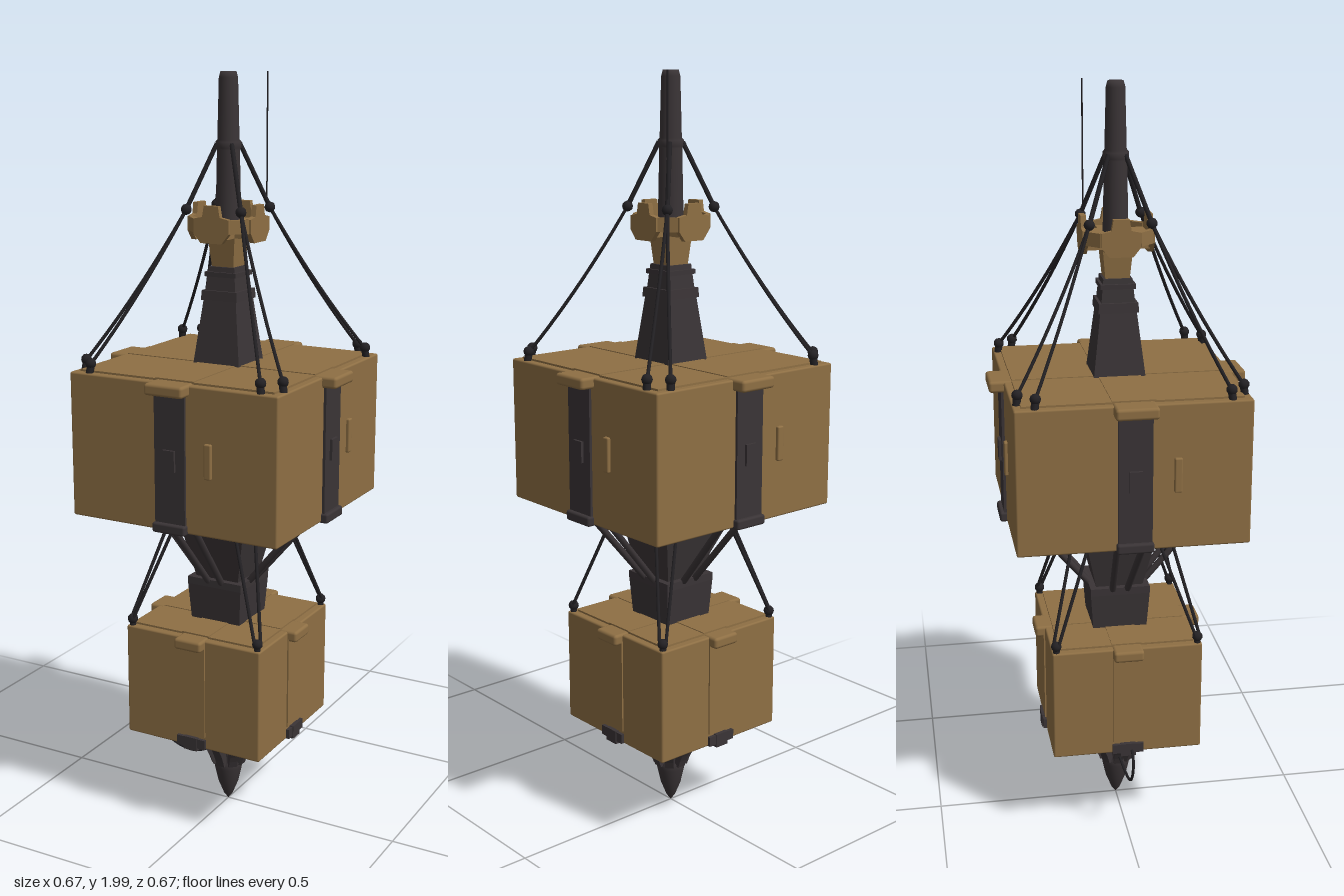
import * as THREE from 'three';
import { RoundedBoxGeometry } from 'three/addons/geometries/RoundedBoxGeometry.js';

const V = (x, y, z) => new THREE.Vector3(x, y, z);

export function createModel() {
  const tan = new THREE.MeshStandardMaterial({ color: 0x8e6f44 });
  tan.name = 'tan panel';
  const dark = new THREE.MeshStandardMaterial({ color: 0x3a3436 });
  dark.name = 'dark metal';
  const black = new THREE.MeshStandardMaterial({ color: 0x232124 });
  black.name = 'black cable';

  const model = new THREE.Group();
  model.name = 'hangingModule';

  const add = (parent, name, geo, mat, x = 0, y = 0, z = 0) => {
    const m = new THREE.Mesh(geo, mat);
    m.name = name;
    m.position.set(x, y, z);
    parent.add(m);
    return m;
  };
  const box = (parent, name, mat, w, h, d, x, y, z) =>
    add(parent, name, new THREE.BoxGeometry(w, h, d), mat, x, y, z);
  const soft = (parent, name, mat, w, h, d, x, y, z, r = 0.006) =>
    add(parent, name, new RoundedBoxGeometry(w, h, d, 2, r), mat, x, y, z);
  // square section between two heights, given by half widths
  const taper = (name, mat, y0, half0, y1, half1) => {
    let g = new THREE.CylinderGeometry(half1 * Math.SQRT2, half0 * Math.SQRT2, y1 - y0, 4);
    g.rotateY(Math.PI / 4);
    g = g.toNonIndexed();
    g.computeVertexNormals();
    return add(model, name, g, mat, 0, (y0 + y1) / 2, 0);
  };
  const rod = (parent, name, mat, a, b, r) => {
    const m = add(parent, name, new THREE.CylinderGeometry(r, r, a.distanceTo(b), 8), mat);
    m.position.copy(a).add(b).multiplyScalar(0.5);
    m.quaternion.setFromUnitVectors(V(0, 1, 0), b.clone().sub(a).normalize());
    return m;
  };
  // four copies turned about the mast
  const around = (name, build, turn = 0) => {
    for (let i = 0; i < 4; i++) {
      const g = new THREE.Group();
      g.name = name + (i + 1);
      g.rotation.y = turn + (i * Math.PI) / 2;
      build(g);
      model.add(g);
    }
  };

  // top pole
  add(model, 'pole', new THREE.LatheGeometry([
    [0.034, 1.58], [0.032, 1.66], [0.029, 1.8], [0.033, 1.805], [0.033, 1.82],
    [0.028, 1.825], [0.024, 1.975], [0.02, 1.99], [0, 1.99],
  ].map(([x, y]) => new THREE.Vector2(x, y)), 16), dark);

  // mast sections
  taper('mastCollar', tan, 1.5, 0.03, 1.6, 0.04);
  taper('mastNeck', dark, 1.45, 0.043, 1.51, 0.037);
  taper('neckRing', dark, 1.485, 0.045, 1.497, 0.045);
  taper('lowerNeckRing', dark, 1.425, 0.052, 1.45, 0.05);
  taper('upperMast', dark, 1.25, 0.068, 1.44, 0.045);
  taper('flaredMast', dark, 0.675, 0.062, 0.89, 0.108);
  taper('mastRing', dark, 0.66, 0.08, 0.68, 0.08);
  taper('lowerMast', dark, 0.55, 0.072, 0.665, 0.08);

  // crown of four shield plates on short arms
  const shield = new THREE.Shape();
  [[-0.03, 1.575], [0.03, 1.575], [0.05, 1.6], [0.05, 1.635], [0.025, 1.64],
    [0.02, 1.668], [-0.02, 1.668], [-0.025, 1.64], [-0.05, 1.635], [-0.05, 1.6]]
    .forEach(([x, y], i) => (i ? shield.lineTo(x, y) : shield.moveTo(x, y)));
  const plate = new THREE.ExtrudeGeometry(shield, { depth: 0.014, bevelEnabled: false });
  around('crown', g => {
    add(g, 'crownPlate', plate, tan, 0, 0, 0.077);
    box(g, 'crownArm', tan, 0.08, 0.04, 0.07, 0, 1.605, 0.045);
    const brace = box(g, 'crownCorner', tan, 0.05, 0.035, 0.014, 0.064, 1.617, 0.064);
    brace.rotation.y = Math.PI / 4;
  });

  // container: body, lid, straps and corner edges
  const container = (name, half, y0, y1, tabHalf, reach) => {
    const g = new THREE.Group();
    g.name = name;
    model.add(g);
    soft(g, 'body', tan, half * 2, y1 - y0, half * 2, 0, (y0 + y1) / 2, 0, 0.005);
    const lid = half * 2 - 0.04;
    box(g, 'lid', tan, lid, 0.006, lid, 0, y1 + 0.002, 0);
    box(g, 'floorPanel', tan, lid, 0.006, lid, 0, y0 - 0.002, 0);
    around(name + 'Side', s => {
      soft(s, 'topTab', tan, tabHalf * 2, 0.03, reach - half + 0.03, 0, y1 - 0.012,
        (reach + half - 0.03) / 2, 0.008);
      box(s, 'topStrap', tan, tabHalf * 2, 0.012, half - 0.02, 0, y1 + 0.001, (half - 0.02) / 2);
    });
  };
  container('upperContainer', 0.295, 0.88, 1.258, 0.054, 0.333);
  container('lowerContainer', 0.2, 0.25, 0.558, 0.04, 0.226);

  // side bands, latches and handles
  around('upperBand', g => {
    box(g, 'band', dark, 0.086, 0.36, 0.016, 0, 1.06, 0.294);
    box(g, 'bandLatch', dark, 0.034, 0.055, 0.008, 0, 1.065, 0.305);
    soft(g, 'bandFoot', dark, 0.094, 0.026, 0.03, 0, 0.89, 0.298);
    soft(g, 'handle', tan, 0.02, 0.09, 0.014, 0.107, 1.075, 0.297, 0.004);
  });
  around('lowerBand', g => {
    box(g, 'lowerPanel', tan, 0.08, 0.26, 0.008, 0, 0.415, 0.2);
    box(g, 'lowerFoot', dark, 0.084, 0.026, 0.018, 0, 0.265, 0.2);
    box(g, 'footHook', dark, 0.04, 0.036, 0.022, 0, 0.262, 0.2);
  });

  // struts under the upper container
  around('strut', g => {
    for (const s of [-1, 1]) {
      rod(g, 'strutRod', dark, V(s * 0.035, 0.885, 0.25), V(s * 0.02, 0.675, 0.075), 0.009);
    }
    box(g, 'strutFoot', dark, 0.11, 0.015, 0.03, 0, 0.875, 0.245);
  });

  // stay cables, along +z before the diagonal turn
  const knot = new THREE.IcosahedronGeometry(0.014, 1);
  around('stay', g => {
    const mid = V(0, 1.655, 0.11);
    rod(g, 'poleCable', black, V(0, 1.815, 0.03), mid, 0.006);
    add(g, 'cableKnot', knot, black, 0, 1.655, 0.11);
    for (const s of [-1, 1]) {
      const curve = new THREE.QuadraticBezierCurve3(mid, V(s * 0.012, 1.45, 0.23), V(s * 0.028, 1.28, 0.368));
      add(g, 'stayCable', new THREE.TubeGeometry(curve, 12, 0.0045, 6), black);
      add(g, 'stayAnchor', knot, black, s * 0.028, 1.282, 0.368);
      rod(g, 'anchorPost', black, V(s * 0.028, 1.255, 0.372), V(s * 0.028, 1.285, 0.366), 0.01);
      rod(g, 'middleCable', black, V(s * 0.03, 0.88, 0.135), V(s * 0.008, 0.575, 0.268), 0.0045);
    }
    add(g, 'middleAnchor', knot, black, 0, 0.575, 0.266);
    rod(g, 'middlePost', black, V(0, 0.55, 0.266), V(0, 0.58, 0.266), 0.009);
  }, Math.PI / 4);

  // thin aerial
  rod(model, 'aerial', black, V(0.072, 1.66, -0.072), V(0.072, 1.99, -0.072), 0.002);

  // pointed foot
  add(model, 'footCone', new THREE.LatheGeometry([
    [0, 0.004], [0.012, 0.02], [0.028, 0.06], [0.038, 0.105], [0.04, 0.125],
    [0.034, 0.13], [0.04, 0.17], [0.055, 0.21], [0.085, 0.25],
  ].map(([x, y]) => new THREE.Vector2(x, y)), 20), dark);

  // curved ribs that spread from the foot to the lower container
  const rib = new THREE.Shape();
  rib.moveTo(0, 0.25);
  rib.lineTo(0.145, 0.25);
  rib.lineTo(0.14, 0.235);
  rib.quadraticCurveTo(0.07, 0.2, 0.046, 0.12);
  rib.lineTo(0, 0.12);
  const ribGeo = new THREE.ExtrudeGeometry(rib, { depth: 0.024, bevelEnabled: false, curveSegments: 8 });
  ribGeo.translate(0, 0, -0.012);
  around('footRib', g => add(g, 'rib', ribGeo, dark));
  around('diagonalRib', g => add(g, 'rib', ribGeo, dark), Math.PI / 4);

  // loose hose on the right
  const hose = new THREE.CatmullRomCurve3([
    V(-0.19, 0.265, 0.01), V(-0.225, 0.25, 0.01), V(-0.228, 0.205, 0.01),
    V(-0.19, 0.155, 0.01), V(-0.11, 0.13, 0.01), V(-0.035, 0.155, 0),
  ]);
  add(model, 'hose', new THREE.TubeGeometry(hose, 32, 0.004, 6), black);

  return model;
}
